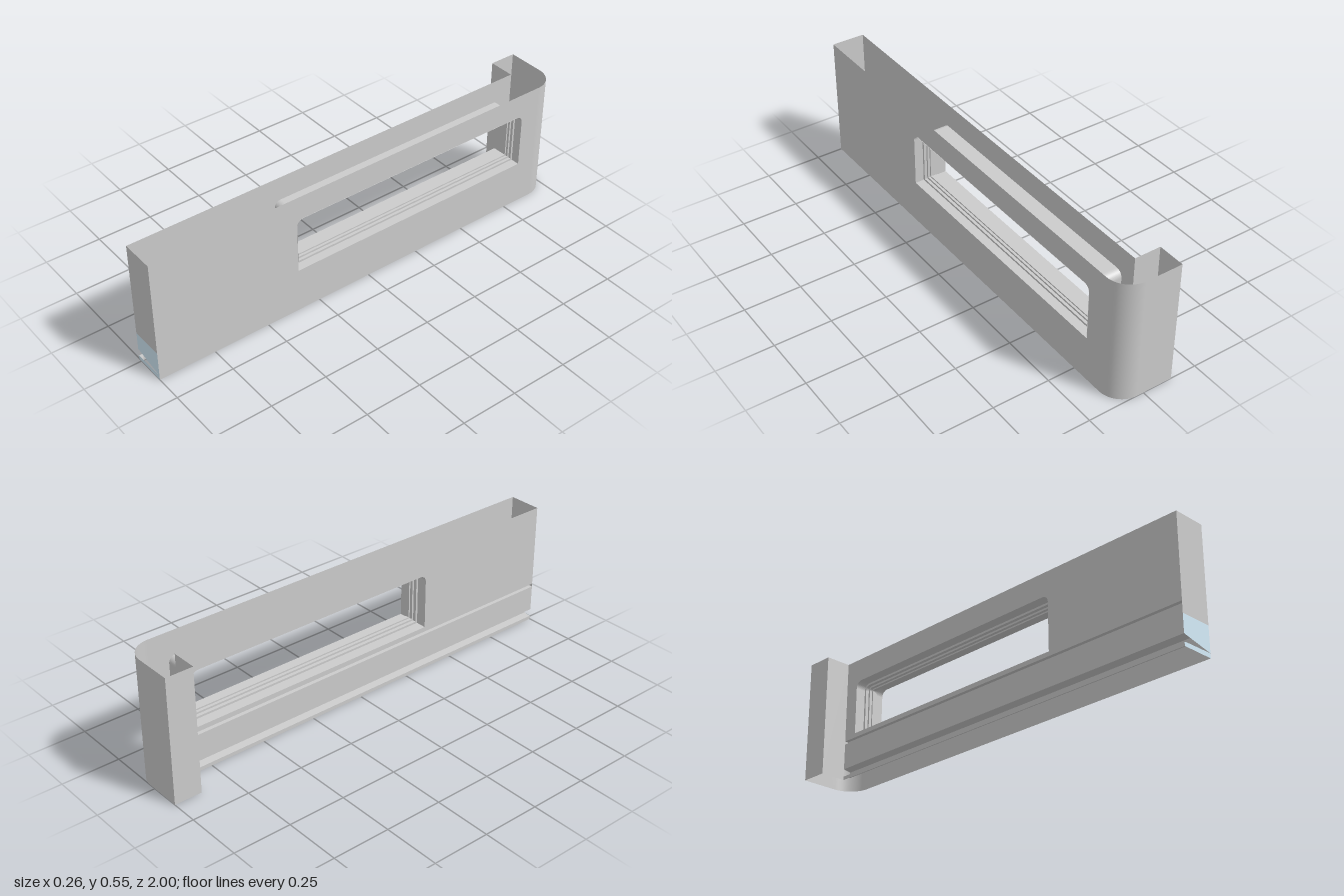
import * as THREE from 'three';

const H = 0.55, OUT = 0.13, INN = -0.017, RET = -0.133, R = 0.1, RETZ = -0.88;

export function createModel() {
  const model = new THREE.Group();
  const grey = new THREE.MeshStandardMaterial({ color: 0xcccccc, side: THREE.DoubleSide });
  const blue = new THREE.MeshStandardMaterial({ color: 0xd3ebf8, side: THREE.DoubleSide });

  function add(name, geometry, material = grey) {
    const mesh = new THREE.Mesh(geometry, material);
    mesh.name = name;
    model.add(mesh);
    return mesh;
  }

  // Flat-sided sheet: a path swept along one straight direction
  function sheet(path, sweep) {
    const pos = [];
    for (let i = 0; i < path.length - 1; i++) {
      const a = new THREE.Vector3(...path[i]), b = new THREE.Vector3(...path[i + 1]);
      const c = b.clone().add(sweep), d = a.clone().add(sweep);
      for (const p of [a, b, c, a, c, d]) pos.push(p.x, p.y, p.z);
    }
    const g = new THREE.BufferGeometry();
    g.setAttribute('position', new THREE.Float32BufferAttribute(pos, 3));
    g.computeVertexNormals();
    return g;
  }

  // Window outline in (z, y): rounded top corners, square sill
  function outline(inset, Type = THREE.Shape) {
    const l = -0.815 + inset, r = 0.35 - inset, b = 0.2 + inset, t = 0.445 - inset;
    const k = Math.max(0.03 - inset, 0.006);
    const s = new Type();
    s.moveTo(l, b);
    s.lineTo(r, b);
    s.lineTo(r, t - k);
    s.absarc(r - k, t - k, k, 0, Math.PI / 2, false);
    s.lineTo(l + k, t);
    s.absarc(l + k, t - k, k, Math.PI / 2, Math.PI, false);
    s.lineTo(l, b);
    return s;
  }

  // Upright wall in the z-y plane, pierced by the window
  function wall(z0, z1, y0, y1, x) {
    const s = new THREE.Shape([[z0, y0], [z1, y0], [z1, y1], [z0, y1]].map(p => new THREE.Vector2(...p)));
    s.holes.push(outline(0, THREE.Path));
    return new THREE.ShapeGeometry(s, 8).rotateY(-Math.PI / 2).translate(x, 0, 0);
  }

  add('outerWall', wall(-1 + R, 1, 0, H, OUT));
  add('innerWall', wall(RETZ, 1, 0.18, H, INN));

  // Lower inner wall with a shallow groove and a deeper bottom channel
  const profile = [[INN, 0.18], [0, 0.18], [0, 0.165], [INN, 0.165], [INN, 0.05],
    [0.018, 0.043], [0.018, 0.018], [INN, 0.016], [INN, 0]];
  add('groovedInnerWall', sheet(profile.map(([x, y]) => [x, y, RETZ]), new THREE.Vector3(0, 0, 1 - RETZ)));

  // Rounded corner and the return post at the back end
  const corner = new THREE.CylinderGeometry(R, R, H, 16, 1, true, Math.PI / 2, Math.PI / 2);
  add('roundedCorner', corner.translate(OUT - R, H / 2, -1 + R));
  add('returnPost', sheet([[OUT - R, 0, -1], [RET, 0, -1], [RET, 0, RETZ], [INN, 0, RETZ]],
    new THREE.Vector3(0, H, 0)));

  // Front end plates, split by the wedge-shaped channel mouth
  function plate(name, points, material) {
    const s = new THREE.Shape(points.map(p => new THREE.Vector2(...p)));
    add(name, new THREE.ShapeGeometry(s).translate(0, 0, 1), material);
  }
  plate('frontEnd', [[INN, 0.131], [OUT, 0.131], [OUT, H], [INN, H]], grey);
  plate('frontEndPanel', [[INN, 0.05], [OUT, 0.02], [OUT, 0.131], [INN, 0.131]], blue);
  plate('frontEndFoot', [[INN, 0], [OUT, 0], [OUT, 0.02], [-0.01, 0.018], [INN, 0.016]], blue);

  // Window reveal running through both walls, with a slight outer lip
  const rim = outline(0).getPoints(8).map(p => [INN, p.y, p.x]);
  add('windowReveal', sheet(rim, new THREE.Vector3(OUT + 0.0015 - INN, 0, 0)));

  // Stepped frame inside the reveal
  for (const [x0, x1, inset] of [[0.03, 0.045, 0.009], [0.045, 0.058, 0.017],
    [0.058, 0.07, 0.023], [0.07, 0.08, 0.017], [0.08, 0.092, 0.009]]) {
    const ring = outline(0);
    ring.holes.push(outline(inset, THREE.Path));
    const g = new THREE.ExtrudeGeometry(ring, { depth: x1 - x0, bevelEnabled: false, curveSegments: 8 });
    add('windowFrameStep', g.rotateY(-Math.PI / 2).translate(x1, 0, 0));
  }
  return model;
}
